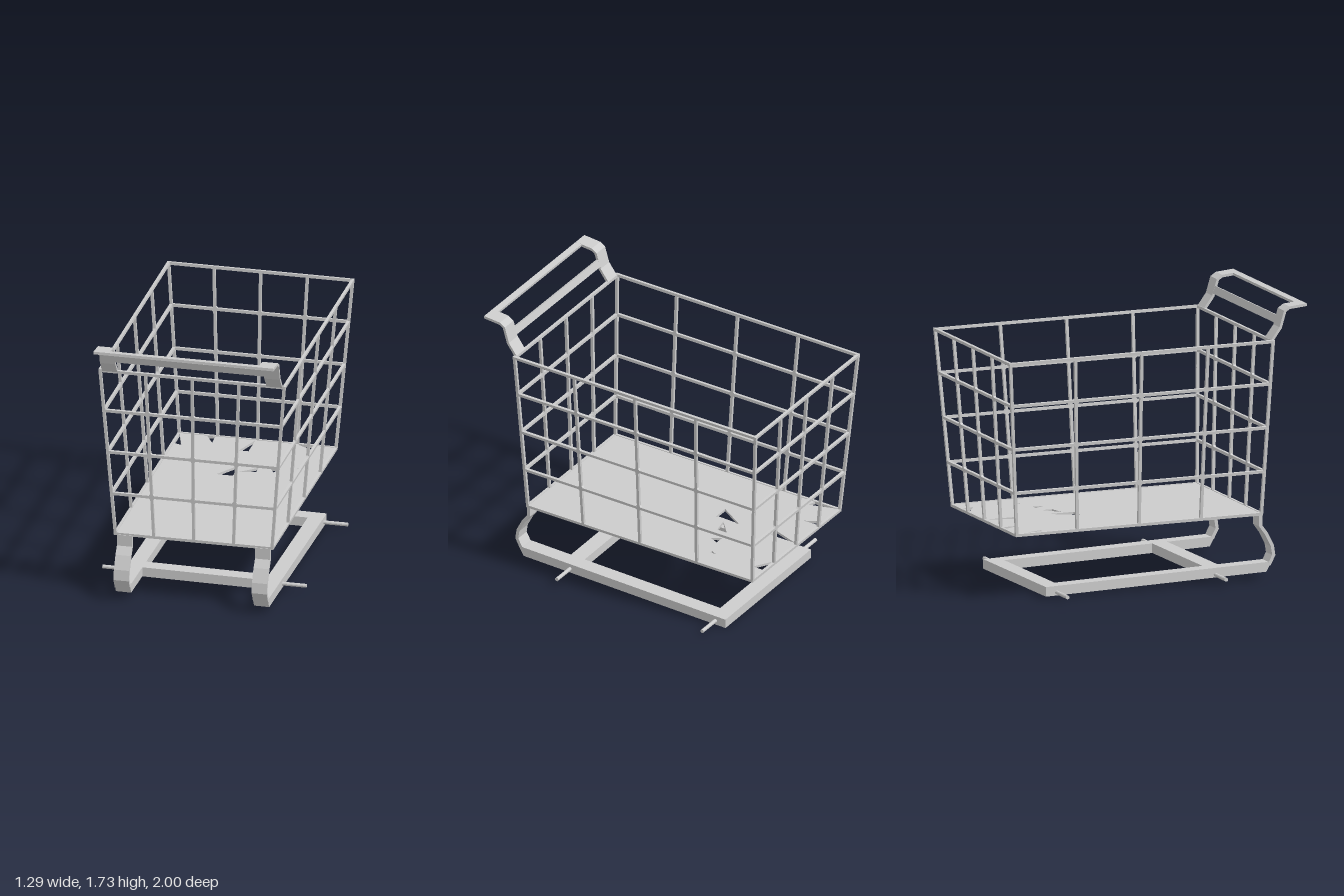
import * as THREE from 'three';
import { mergeGeometries } from 'three/addons/utils/BufferGeometryUtils.js';

const mat = new THREE.MeshStandardMaterial({ color: 0xcccccc, flatShading: true, side: THREE.DoubleSide });
const V3 = (x, y, z) => new THREE.Vector3(x, y, z);
const V2 = (x, y) => new THREE.Vector2(x, y);

function add(parent, name, geometry) {
  const mesh = new THREE.Mesh(geometry, mat);
  mesh.name = name;
  parent.add(mesh);
  return mesh;
}

// Trapezoid wire panel with 4 x 4 openings. Corners run bottom-left,
// bottom-right, top-right, top-left as seen from outside.
function wirePanel(parent, name, bl, br, tr, tl) {
  const wire = 0.018;
  const n = br.clone().sub(bl).cross(tl.clone().sub(bl)).normalize();
  const at = (s, t) => bl.clone().lerp(br, s).lerp(tl.clone().lerp(tr, s), t);
  const parts = [];
  // Square wire between two points, moved sideways by half its width at the rim
  const bar = (a, b, side) => {
    const dir = b.clone().sub(a);
    const geo = new THREE.BoxGeometry(dir.length(), wire, wire);
    dir.normalize();
    const across = n.clone().cross(dir);
    const mid = a.clone().lerp(b, 0.5).addScaledVector(across, side * wire / 2).addScaledVector(n, -wire / 2);
    geo.applyMatrix4(new THREE.Matrix4().makeBasis(dir, across, n).setPosition(mid));
    parts.push(geo);
  };
  for (let i = 0; i <= 4; i++) {
    const inward = i === 0 ? 1 : i === 4 ? -1 : 0;
    bar(at(0, i / 4), at(1, i / 4), inward);
    bar(at(i / 4, 0), at(i / 4, 1), -inward);
  }
  // Webs that fill the inner corners of the crossings
  const u = br.clone().sub(bl).normalize();
  const basis = new THREE.Matrix4().makeBasis(u, n.clone().cross(u), n);
  for (let i = 1; i < 4; i++) for (let j = 1; j < 4; j++) {
    const geo = new THREE.BoxGeometry(0.037, 0.037, wire - 0.001).rotateZ(Math.PI / 4);
    geo.applyMatrix4(basis.setPosition(at(i / 4, j / 4).addScaledVector(n, -wire / 2)));
    parts.push(geo);
  }
  add(parent, name, mergeGeometries(parts));
}

// Side outline of [z, y] points, extruded from x0 to x1
function prism(parent, name, outline, x0, x1) {
  const shape = new THREE.Shape(outline.map(([z, y]) => V2(z, y)));
  const geo = new THREE.ExtrudeGeometry(shape, { depth: x1 - x0, bevelEnabled: false });
  geo.applyMatrix4(new THREE.Matrix4().makeBasis(V3(0, 0, 1), V3(0, 1, 0), V3(-1, 0, 0)).setPosition(x1, 0, 0));
  add(parent, name, geo);
}

// Outline of a bent flat strip along a [z, y] centre line
function strip(line, t) {
  const sides = [[], []];
  line.forEach(([z, y], i) => {
    const p = line[Math.max(i - 1, 0)], q = line[Math.min(i + 1, line.length - 1)];
    const len = Math.hypot(q[0] - p[0], q[1] - p[1]);
    const nz = -(q[1] - p[1]) / len * t / 2, ny = (q[0] - p[0]) / len * t / 2;
    sides[0].push([z + nz, y + ny]);
    sides[1].unshift([z - nz, y - ny]);
  });
  return [...sides[0], ...sides[1]];
}

export function createModel() {
  const cart = new THREE.Group();
  cart.name = 'shoppingCart';

  // Basket walls
  const basket = new THREE.Group();
  basket.name = 'basket';
  cart.add(basket);
  const yB = 0.404, yT = 1.516;
  const low = [V3(-0.498, yB, 0.735), V3(0.51, yB, 0.735), V3(0.51, yB, -0.92), V3(-0.498, yB, -0.92)];
  const top = [V3(-0.586, yT, 0.777), V3(0.598, yT, 0.777), V3(0.598, yT, -1), V3(-0.586, yT, -1)];
  ['frontWires', 'leftWires', 'backWires', 'rightWires'].forEach((name, i) => {
    const j = (i + 1) % 4;
    wirePanel(basket, name, low[i], low[j], top[j], top[i]);
  });

  // Basket floor with its few openings; shape coordinates are x and -z
  const floor = new THREE.Shape(low.map((p) => V2(p.x, -p.z)));
  [
    [-0.485, -0.9, -0.43, -0.72, -0.48, -0.74],
    [-0.31, -0.9, -0.26, -0.9, -0.255, -0.8],
    [-0.005, -0.9, -0.005, -0.72, -0.065, -0.72],
    [0.26, -0.9, 0.37, -0.9, 0.37, -0.83],
    [-0.005, -0.49, -0.005, -0.32, -0.11, -0.32],
    [0.02, -0.39, 0.12, -0.48, 0.12, -0.41],
    [0.19, -0.49, 0.25, -0.49, 0.225, -0.43],
    [0.35, -0.52, 0.37, -0.56, 0.37, -0.52],
  ].forEach(([a, b, c, d, e, f]) => floor.holes.push(new THREE.Path([V2(a, -b), V2(c, -d), V2(e, -f)])));
  const floorGeo = new THREE.ExtrudeGeometry(floor, { depth: 0.016, bevelEnabled: false });
  floorGeo.rotateX(-Math.PI / 2).translate(0, yB, 0);
  add(basket, 'floor', floorGeo);

  // Handle: two bent arms joined by a grip and a lower bar
  const handle = new THREE.Group();
  handle.name = 'handle';
  cart.add(handle);
  const arm = strip([[0.768, 1.51], [0.825, 1.587], [0.855, 1.688], [0.885, 1.707], [1, 1.717]], 0.017);
  prism(handle, 'rightArm', arm, -0.562, -0.465);
  prism(handle, 'leftArm', arm, 0.478, 0.577);
  prism(handle, 'grip', strip([[0.958, 1.713], [1, 1.717]], 0.017), -0.465, 0.478);
  prism(handle, 'lowerBar', strip([[0.829, 1.6], [0.844, 1.647]], 0.017), -0.465, 0.478);

  // Undercarriage, leaning very slightly to one side
  const base = new THREE.Group();
  base.name = 'undercarriage';
  base.rotation.z = -0.01;
  cart.add(base);
  const yLow = (z) => 0.005 + (z + 0.71) * 0.0236;
  const bar = (z0, z1) => [[z0, yLow(z0)], [z1, yLow(z1)], [z1, yLow(z1) + 0.06], [z0, yLow(z0) + 0.06]];
  const rail = bar(-0.71, 0.765);
  rail.splice(2, 0, [0.799, 0.1]);
  const leg = strip([[0.728, 0.41], [0.728, 0.335], [0.765, 0.285], [0.806, 0.205], [0.815, 0.145], [0.783, 0.085]], 0.022);
  [[-0.478, -0.381, 'right'], [0.396, 0.492, 'left']].forEach(([x0, x1, side]) => {
    prism(base, side + 'Rail', rail, x0, x1);
    prism(cart, side + 'Leg', leg, x0, x1);
  });
  prism(base, 'frontCrossbar', bar(0.38, 0.48), -0.381, 0.396);
  prism(base, 'backCrossbar', bar(-0.71, -0.61), -0.381, 0.396);

  // Axle stubs
  for (const [z, y] of [[0.425, 0.054], [-0.637, 0.031]]) {
    for (const x of [-0.545, 0.545]) {
      const geo = new THREE.CylinderGeometry(0.012, 0.012, 0.2, 12).rotateZ(Math.PI / 2);
      add(cart, 'axleStub', geo).position.set(x, y, z);
    }
  }
  return cart;
}
